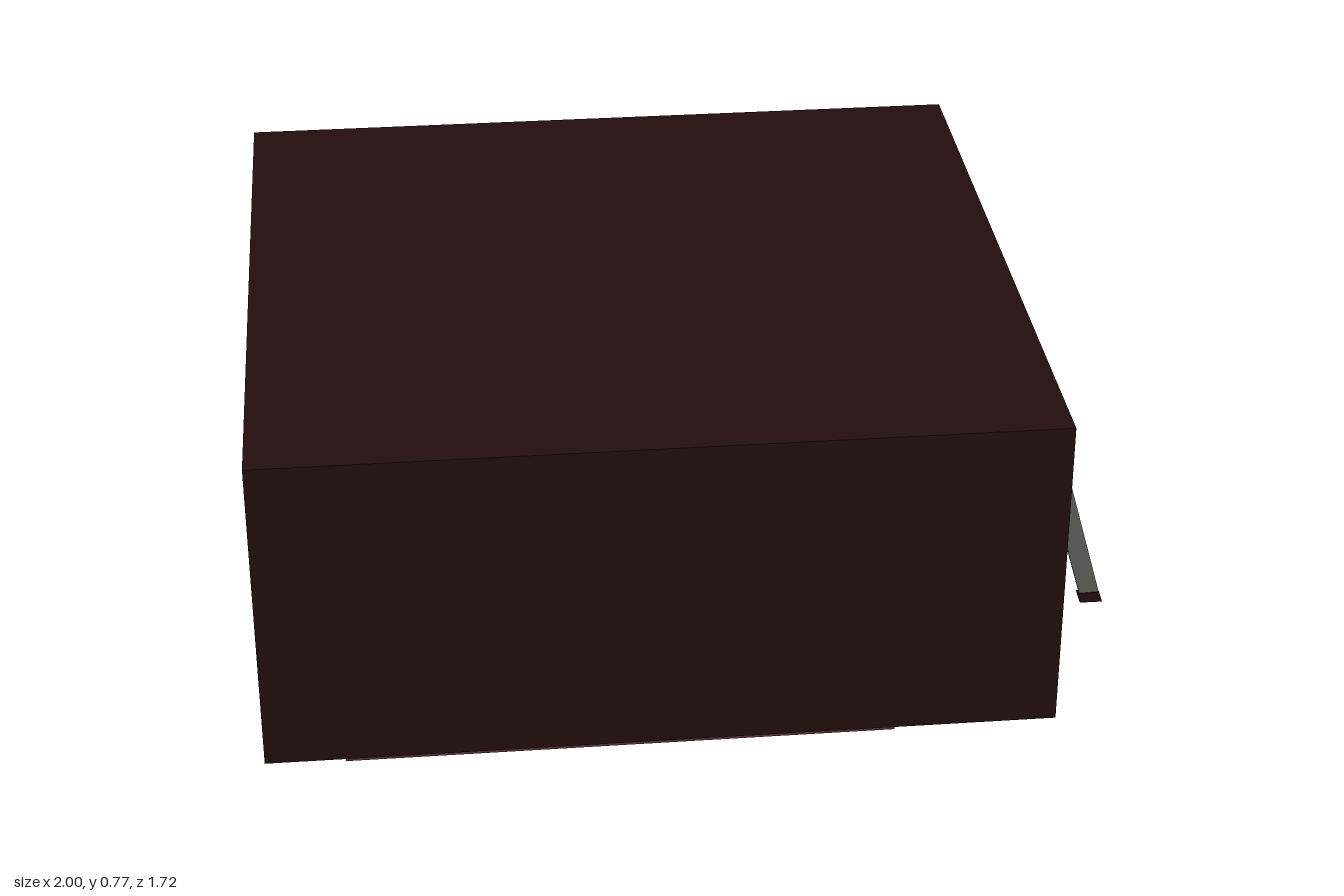
import * as THREE from 'three';

const mat = (name, color, side = THREE.FrontSide) => {
  const m = new THREE.MeshStandardMaterial({ color, side });
  m.name = name;
  return m;
};

export function createModel() {
  const root = new THREE.Group();
  root.name = 'pavilion';
  const dark = mat('dark brown cladding', 0x240e0e);
  const gray = mat('warm gray', 0x65625e);
  const white = mat('pale frame', 0xbcbab6);
  const red = mat('dull red', 0x603038);
  const metal = mat('chair metal', 0x77746f);

  const add = (name, geo, m, parent = root) => {
    const mesh = new THREE.Mesh(geo, m);
    mesh.name = name;
    parent.add(mesh);
    return mesh;
  };
  // box from its minimum and maximum corners
  const box = (name, m, x0, x1, y0, y1, z0, z1, parent = root) => {
    const mesh = add(name, new THREE.BoxGeometry(x1 - x0, y1 - y0, z1 - z0), m, parent);
    mesh.position.set((x0 + x1) / 2, (y0 + y1) / 2, (z0 + z1) / 2);
    return mesh;
  };
  // flat shape given in x,z, extruded upward from y
  const slab = (name, m, shape, y, h) => {
    const geo = new THREE.ExtrudeGeometry(shape, { depth: h, bevelEnabled: false, curveSegments: 24 });
    const mesh = add(name, geo, m);
    mesh.rotation.x = -Math.PI / 2;
    mesh.position.y = y;
    return mesh;
  };

  // outer shell
  box('roof', dark, -1, 0.79, 0.73, 0.77, -0.86, 0.86);
  box('frontWall', dark, -1, 0.79, 0.01, 0.73, 0.81, 0.86);
  box('backWall', dark, -1, 0.79, 0.01, 0.73, -0.86, -0.79);
  box('rightWallFrontPier', dark, 0.75, 0.79, 0.01, 0.73, 0.755, 0.81);
  box('rightWallBackPier', dark, 0.75, 0.79, 0.01, 0.73, -0.79, -0.70);
  box('rightWallLintel', dark, 0.75, 0.79, 0.645, 0.73, -0.70, 0.755);
  box('leftWallSolid', dark, -1, -0.96, 0.01, 0.73, 0.37, 0.81);
  box('leftWallLintel', dark, -1, -0.96, 0.585, 0.73, -0.79, 0.37);

  // inner lining and floor
  box('floor', gray, -0.99, 0.78, 0.004, 0.013, -0.79, 0.85);
  box('ceiling', gray, -0.96, 0.75, 0.722, 0.73, -0.79, 0.81);
  box('frontLining', gray, -0.96, 0.75, 0.013, 0.722, 0.802, 0.81);
  box('backLining', gray, -0.96, 0.75, 0.08, 0.722, -0.79, -0.782);
  box('backPlinth', dark, -0.96, 0.75, 0.013, 0.08, -0.79, -0.775);
  box('leftLining', gray, -0.96, -0.952, 0.013, 0.722, 0.37, 0.802);
  box('leftLintelLining', gray, -0.96, -0.952, 0.585, 0.722, -0.782, 0.37);

  // two sliding window sashes in the left wall
  const sash = (z0, z1, x, y0, y1) => {
    const g = new THREE.Group();
    g.name = 'windowSash';
    const t = 0.01;
    box('bottomRail', white, x, x + 0.015, y0, y0 + t, z0, z1, g);
    box('topRail', white, x, x + 0.015, y1 - t, y1, z0, z1, g);
    for (const z of [z0, z1 - t]) box('stile', white, x, x + 0.015, y0 + t, y1 - t, z, z + t, g);
    root.add(g);
  };
  sash(-0.2, 0.37, -0.997, 0.002, 0.585);
  sash(-0.785, -0.19, -0.98, 0.013, 0.585);

  // slanted fins outside the wide opening: gray cheeks, dark edges and ends
  const poly = (pts) => new THREE.Shape(pts.map(([x, y]) => new THREE.Vector2(x, y)));
  const plate = (name, pts, depth, z, m, parent) => {
    const mesh = add(name, new THREE.ExtrudeGeometry(poly(pts), { depth, bevelEnabled: false }), m, parent);
    mesh.position.z = z - depth / 2;
  };
  for (const z of [0.4, 0.03, -0.32]) {
    const fin = new THREE.Group();
    fin.name = 'fin';
    plate('blade', [[0.94, 0.045], [0.988, 0.045], [0.828, 0.61], [0.79, 0.59], [0.79, 0.565]], 0.012, z, [gray, dark], fin);
    plate('topBracket', [[0.785, 0.585], [0.828, 0.61], [0.83, 0.64], [0.785, 0.64]], 0.018, z, dark, fin);
    plate('foot', [[0.935, 0.045], [0.943, 0.02], [0.997, 0.02], [0.988, 0.047]], 0.018, z, dark, fin);
    root.add(fin);
  }

  // rug and long table
  box('rug', gray, -0.42, 0.21, 0.003, 0.017, -0.47, 0.59);
  box('tableTop', dark, -0.2, 0.0, 0.143, 0.15, -0.32, 0.42);
  const leg = add('tableLeg', new THREE.LatheGeometry(
    [[0, 0.002], [0.035, 0.002], [0.035, 0.02], [0.022, 0.07], [0.014, 0.143]].map(([x, y]) => new THREE.Vector2(x, y)), 20), dark);
  leg.position.set(-0.09, 0, 0.025);

  // swivel chairs, facing +x before turning
  const chair = (x, z, turn) => {
    const g = new THREE.Group();
    g.name = 'chair';
    box('seat', dark, -0.035, 0.04, 0.082, 0.092, -0.036, 0.036, g);
    const back = add('backrest', new THREE.CylinderGeometry(0.08, 0.08, 0.055, 10, 1, true, -Math.PI / 2 - 0.48, 0.96),
      gray.clone === undefined ? gray : chairBack, g);
    back.position.set(0.038, 0.128, 0);
    box('backStem', metal, -0.04, -0.034, 0.08, 0.13, -0.005, 0.005, g);
    for (const s of [-1, 1]) {
      box('armRest', dark, -0.03, 0.025, 0.115, 0.12, s * 0.042 - 0.004, s * 0.042 + 0.004, g);
      box('armPost', dark, -0.004, 0.004, 0.085, 0.115, s * 0.042 - 0.002, s * 0.042 + 0.002, g);
    }
    const post = add('post', new THREE.CylinderGeometry(0.005, 0.005, 0.05, 8), metal, g);
    post.position.y = 0.058;
    for (let i = 0; i < 5; i++) {
      const arm = new THREE.Group();
      arm.name = 'baseArm';
      arm.rotation.y = (i * Math.PI * 2) / 5;
      const bar = box('bar', metal, 0, 0.042, 0.028, 0.033, -0.003, 0.003, arm);
      bar.rotation.z = -0.15;
      const wheel = add('castor', new THREE.SphereGeometry(0.006, 8, 6), dark, arm);
      wheel.position.set(0.04, 0.022, 0);
      g.add(arm);
    }
    g.position.set(x, 0, z);
    g.rotation.y = turn;
    root.add(g);
  };
  const chairBack = mat('chair gray', 0x65625e, THREE.DoubleSide);
  for (const z of [0.355, 0.2, 0.05, -0.105, -0.26]) {
    chair(0.05, z, Math.PI);
    chair(-0.25, z, 0);
  }

  // bowed red bench along the front wall
  const bench = new THREE.Shape();
  bench.moveTo(-0.82, -0.857);
  bench.lineTo(0.42, -0.857);
  bench.quadraticCurveTo(-0.2, -0.72, -0.82, -0.857);
  slab('benchBase', red, bench, 0.002, 0.008);
  const seat = new THREE.Shape();
  seat.moveTo(-0.82, -0.802);
  seat.lineTo(0.42, -0.802);
  seat.quadraticCurveTo(-0.2, -0.68, -0.82, -0.802);
  slab('benchSeat', red, seat, 0.013, 0.055);

  // wall shelf and panel joints above the bench
  box('wallShelf', dark, -0.82, 0.3, 0.15, 0.157, 0.77, 0.802);
  for (let i = 0; i < 6; i++) {
    const x = -0.8 + i * 0.21;
    box('panelJoint', dark, x, x + 0.005, 0.068, 0.15, 0.798, 0.802);
  }

  // half-round wall lamp
  const lamp = add('wallLamp', new THREE.SphereGeometry(0.04, 16, 8, 0, Math.PI * 2, 0, Math.PI / 2), white);
  lamp.rotation.x = -Math.PI / 2;
  lamp.position.set(0.38, 0.52, 0.802);

  // rounded ring lamp below the ceiling
  const capsule = (target, r) => {
    target.absarc(-0.1, 0.18, r, Math.PI, Math.PI * 2, false);
    target.absarc(-0.1, -0.23, r, Math.PI * 2, Math.PI * 3, false);
    target.closePath();
    return target;
  };
  const capsuleShape = (T, r) => {
    const t = new T();
    t.absarc(-0.1, 0.14, r, 0, Math.PI, false);
    t.absarc(-0.1, -0.19, r, Math.PI, Math.PI * 2, false);
    t.closePath();
    return t;
  };
  const ring = capsuleShape(THREE.Shape, 0.16);
  ring.holes.push(capsuleShape(THREE.Path, 0.135));
  slab('ceilingRingLamp', white, ring, 0.695, 0.018);

  return root;
}
